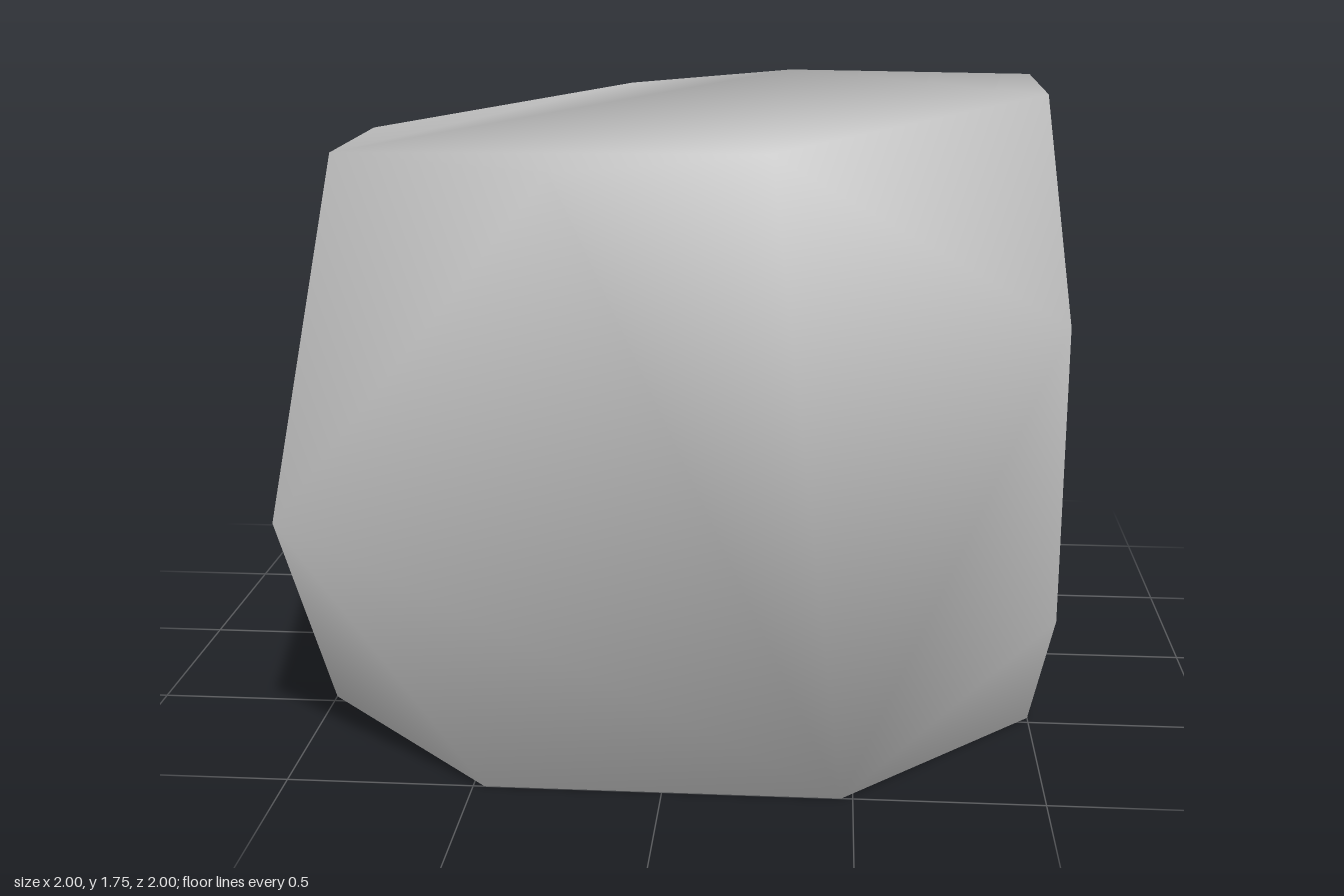
import * as THREE from 'three';
import { mergeVertices } from 'three/addons/utils/BufferGeometryUtils.js';
import { ConvexGeometry } from 'three/addons/geometries/ConvexGeometry.js';

// Eight corners of an octagon with edges on the sides of a square; t is half the side edge.
function octagon(t, height) {
  const points = [];
  for (const a of [-1, 1]) {
    for (const b of [-t, t]) {
      points.push(new THREE.Vector3(a, height(a), b), new THREE.Vector3(b, height(b), a));
    }
  }
  return points;
}

export function createModel() {
  const stone = new THREE.MeshStandardMaterial({ color: 0xcccccc });
  stone.name = 'stone grey';

  // Flat base and gently sloping top
  const points = [
    ...octagon(0.47, () => 0),
    ...octagon(0.27, (x) => 1.66 + 0.09 * x),
  ];

  // Upright corners: one diagonal pair keeps a short edge, the other comes to a point
  for (const s of [-1, 1]) {
    points.push(
      new THREE.Vector3(s, 0.51, s),
      new THREE.Vector3(s, 1.27, s),
      new THREE.Vector3(s, 0.72, -s),
    );
  }

  // Share the vertices so the shading runs smoothly over the cut corners
  let geometry = new ConvexGeometry(points);
  geometry.deleteAttribute('normal');
  geometry = mergeVertices(geometry, 1e-4);
  geometry.computeVertexNormals();

  const boulder = new THREE.Mesh(geometry, stone);
  boulder.name = 'boulder';

  const group = new THREE.Group();
  group.name = 'cutCornerBoulder';
  group.add(boulder);
  return group;
}
